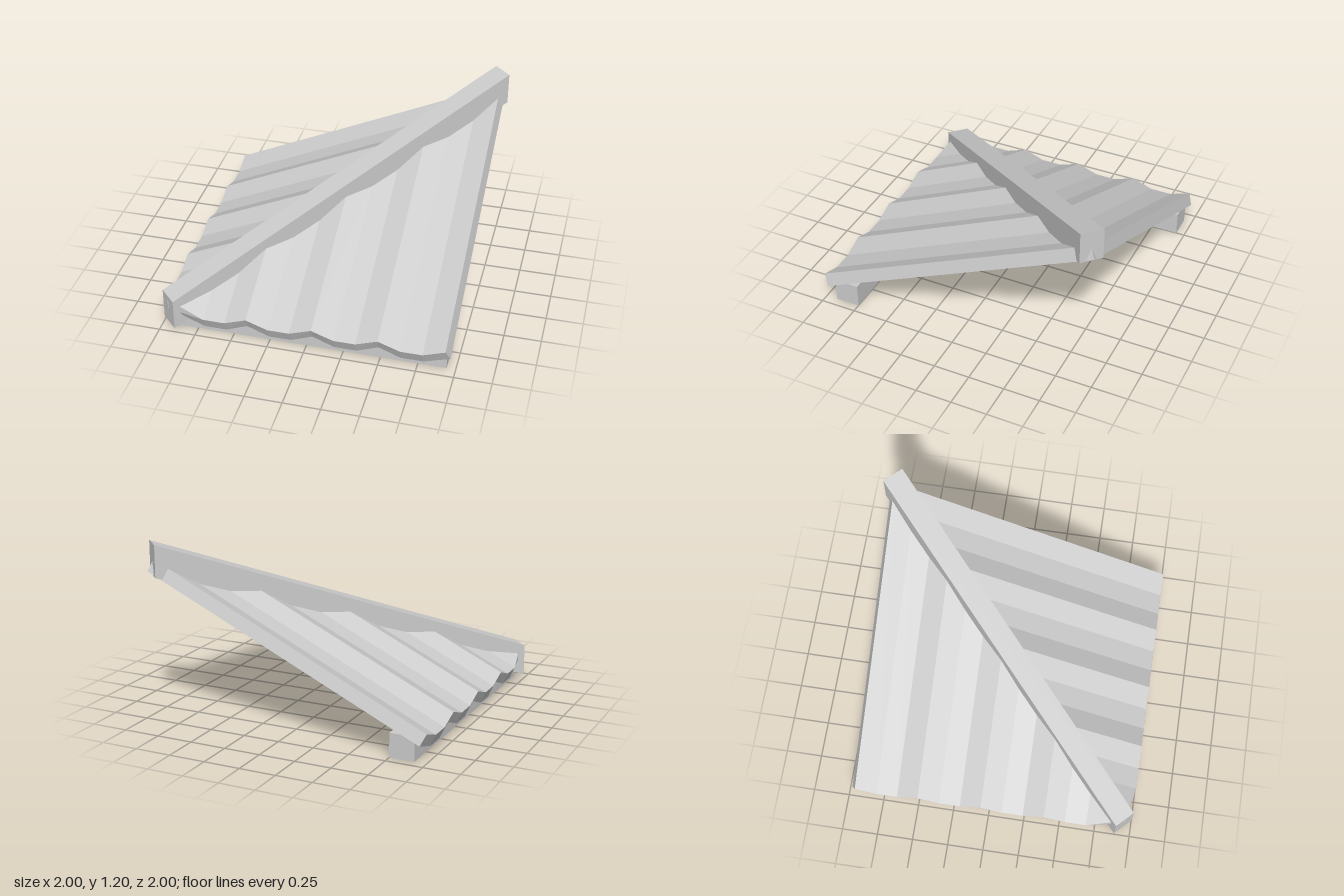
import * as THREE from 'three';

const material = new THREE.MeshStandardMaterial({ color: 0xcccccc, flatShading: true });
const PITCH = 0.46;

// Wavy eave profile, from the low hip corner to the gable end:
// [xTop, yTop, zTop, xBottom, yBottom, zBottom]
function waveProfile() {
  const points = [[-0.947, 0.222, 0.947, -0.947, 0.15, 0.947]];
  const period = 0.4435, lastCrest = 0.94;
  for (let i = 11; i >= 0; i--) {
    const x = lastCrest - (i * period) / 3;
    const crest = i % 3 === 0;
    const end = i === 0 ? 0.03 : 0;
    points.push([x, crest ? 0.195 : 0.142, 1, x + end, crest ? 0.12 : 0.062, 0.965]);
  }
  return points;
}

// Sloping corrugated sheet, cut along the diagonal x + z = 0
function roofSheet(mirrored) {
  const rings = waveProfile().map(([xt, yt, zt, xb, yb, zb]) => [
    [xt, yt, zt],
    [xt, yt + PITCH * (zt + xt), -xt],
    [xb, yb + PITCH * (zb + xb), -xb],
    [xb, yb, zb],
  ]);
  const positions = [];
  const place = ([x, y, z]) => (mirrored ? [-z, y, -x] : [x, y, z]);
  const quad = (a, b, c, d) => {
    const order = mirrored ? [a, c, b, a, d, c] : [a, b, c, a, c, d];
    order.forEach((p) => positions.push(...place(p)));
  };
  for (let i = 0; i < rings.length - 1; i++) {
    for (let j = 0; j < 4; j++) {
      const k = (j + 1) % 4;
      quad(rings[i][j], rings[i + 1][j], rings[i + 1][k], rings[i][k]);
    }
  }
  // slanted end edge
  const [te, th, bh, be] = rings[rings.length - 1];
  quad(te, be, bh, th);
  const geometry = new THREE.BufferGeometry();
  geometry.setAttribute('position', new THREE.Float32BufferAttribute(positions, 3));
  geometry.computeVertexNormals();
  return geometry;
}

// Diagonal hip beam: a box sheared upward so that its ends stay vertical
function hipBeam() {
  const length = 1.89 * Math.SQRT2;
  const geometry = new THREE.BoxGeometry(length, 0.22, 0.11 * Math.SQRT2);
  const p = geometry.attributes.position;
  for (let i = 0; i < p.count; i++) {
    p.setY(i, p.getY(i) + 0.615 + (p.getX(i) * 0.95) / length);
  }
  geometry.rotateY(Math.PI / 4);
  geometry.computeVertexNormals();
  return geometry;
}

// Box given by its minimum and maximum corners
function block(x0, y0, z0, x1, y1, z1) {
  return new THREE.BoxGeometry(x1 - x0, y1 - y0, z1 - z0)
    .translate((x0 + x1) / 2, (y0 + y1) / 2, (z0 + z1) / 2);
}

export function createModel() {
  const group = new THREE.Group();
  group.name = 'hipRoofCorner';
  const add = (name, geometry) => {
    const mesh = new THREE.Mesh(geometry, material);
    mesh.name = name;
    group.add(mesh);
  };
  add('frontRoofSheet', roofSheet(false));
  add('sideRoofSheet', roofSheet(true));
  add('hipBeam', hipBeam());
  // wall plates under the eaves
  add('frontWallPlate', block(-0.92, 0, 0.75, 0.94, 0.165, 0.92));
  add('sideWallPlate', block(-0.92, 0, -0.94, -0.75, 0.165, 0.75));
  return group;
}
